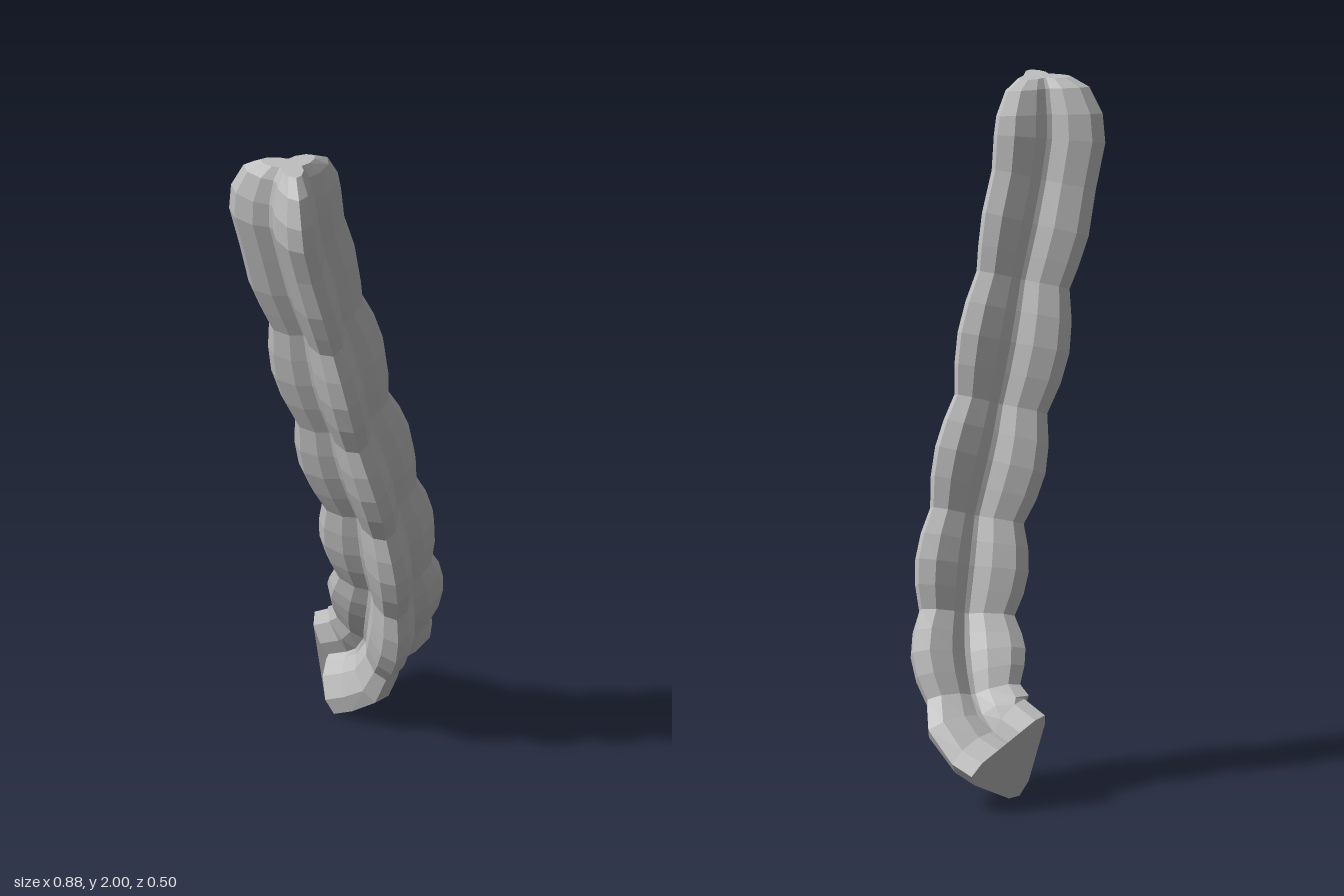
import * as THREE from 'three';

const V = (x, y, z) => new THREE.Vector3(x, y, z);

export function createModel() {
  const group = new THREE.Group();
  group.name = 'ribbedTube';
  const grey = new THREE.MeshStandardMaterial({ color: 0xbfbfbf, flatShading: true, side: THREE.DoubleSide });
  grey.name = 'grey';

  // Centre line, from the top end down to the curled lower end
  const spine = new THREE.CatmullRomCurve3([
    V(-0.328, 2, 0.085), V(-0.32, 1.92, 0.078), V(-0.3, 1.8, 0.07), V(-0.18, 1.43, 0.082),
    V(-0.075, 1.08, 0.095), V(0.035, 0.77, 0.108), V(0.12, 0.5, 0.087), V(0.18, 0.35, 0.04),
    V(0.243, 0.195, -0.06), V(0.255, 0.137, -0.172),
  ]);
  spine.arcLengthDivisions = 600;
  const length = spine.getLength();

  // Cross-section: three lobes with flat-bottomed grooves between, as [angle, radius, lobe index]
  const lobe = [[-54, 0.41], [-34, 0.61], [-14, 0.87], [0, 1], [14, 0.87], [34, 0.61], [54, 0.41]];
  const section = [];
  for (let k = 0; k < 3; k++) {
    for (const [a, r] of lobe) section.push([THREE.MathUtils.degToRad(11 + k * 120 + a), r * 0.188, k]);
  }
  const n = section.length;

  // Rings: [distance along the spine, scale]; rounded top, then pouches between pinches
  const rings = [[0, 0.48], [0.035, 0.75], [0.11, 0.95], [0.18, 1], [0.3, 0.95], [0.43, 0.98], [0.52, 0.92]];
  const pinches = [0.59, 0.95, 1.28, 1.57, 1.83, length];
  for (let i = 0; i < pinches.length - 1; i++) {
    const steps = i === pinches.length - 2 ? 3 : 4;
    for (let k = 0; k < steps; k++) {
      const f = k / steps;
      rings.push([THREE.MathUtils.lerp(pinches[i], pinches[i + 1], f), 0.85 + 0.17 * Math.sin(Math.PI * f)]);
    }
  }
  rings.push([length, 1]);

  const points = rings.map(([s, scale]) => {
    const c = spine.getPointAt(s / length);
    const t = spine.getTangentAt(s / length);
    if (s === 0) t.set(0, -1, 0);
    if (s === length) t.set(0.1, -0.46, -0.88).normalize();
    const u = V(1, 0, 0).addScaledVector(t, -t.x).normalize();
    const v = t.clone().cross(u);
    // The rear lobe tapers at the end of the bend
    const taper = 1 - 0.18 * THREE.MathUtils.smoothstep(s, 1.8, length);
    return section.map(([a, r, k]) => {
      const radius = r * scale * (k === 2 ? taper : 1);
      return c.clone().addScaledVector(u, Math.cos(a) * radius).addScaledVector(v, Math.sin(a) * radius);
    });
  });

  const addMesh = (name, triangles) => {
    const geometry = new THREE.BufferGeometry().setFromPoints(triangles);
    geometry.computeVertexNormals();
    const mesh = new THREE.Mesh(geometry, grey);
    mesh.name = name;
    group.add(mesh);
  };

  // Wall
  const wall = [];
  for (let i = 0; i < points.length - 1; i++) {
    for (let j = 0; j < n; j++) {
      const k = (j + 1) % n;
      const a = points[i][j], b = points[i][k], c = points[i + 1][j], d = points[i + 1][k];
      wall.push(a, b, c, b, d, c);
    }
  }
  addMesh('lobedWall', wall);

  // End caps as fans about their centres
  const fan = (rim, flip) => {
    const centre = rim.reduce((sum, p) => sum.add(p), V(0, 0, 0)).divideScalar(rim.length);
    return rim.flatMap((p, j) => {
      const q = rim[(j + 1) % rim.length];
      return flip ? [centre, q, p] : [centre, p, q];
    });
  };
  addMesh('topCap', fan(points[0], true));
  // The lower cap spans straight from lobe to lobe
  const lowerRim = points[points.length - 1].filter((p, j) => j % 7 >= 2 && j % 7 <= 4);
  addMesh('lowerCap', fan(lowerRim, false));

  return group;
}
